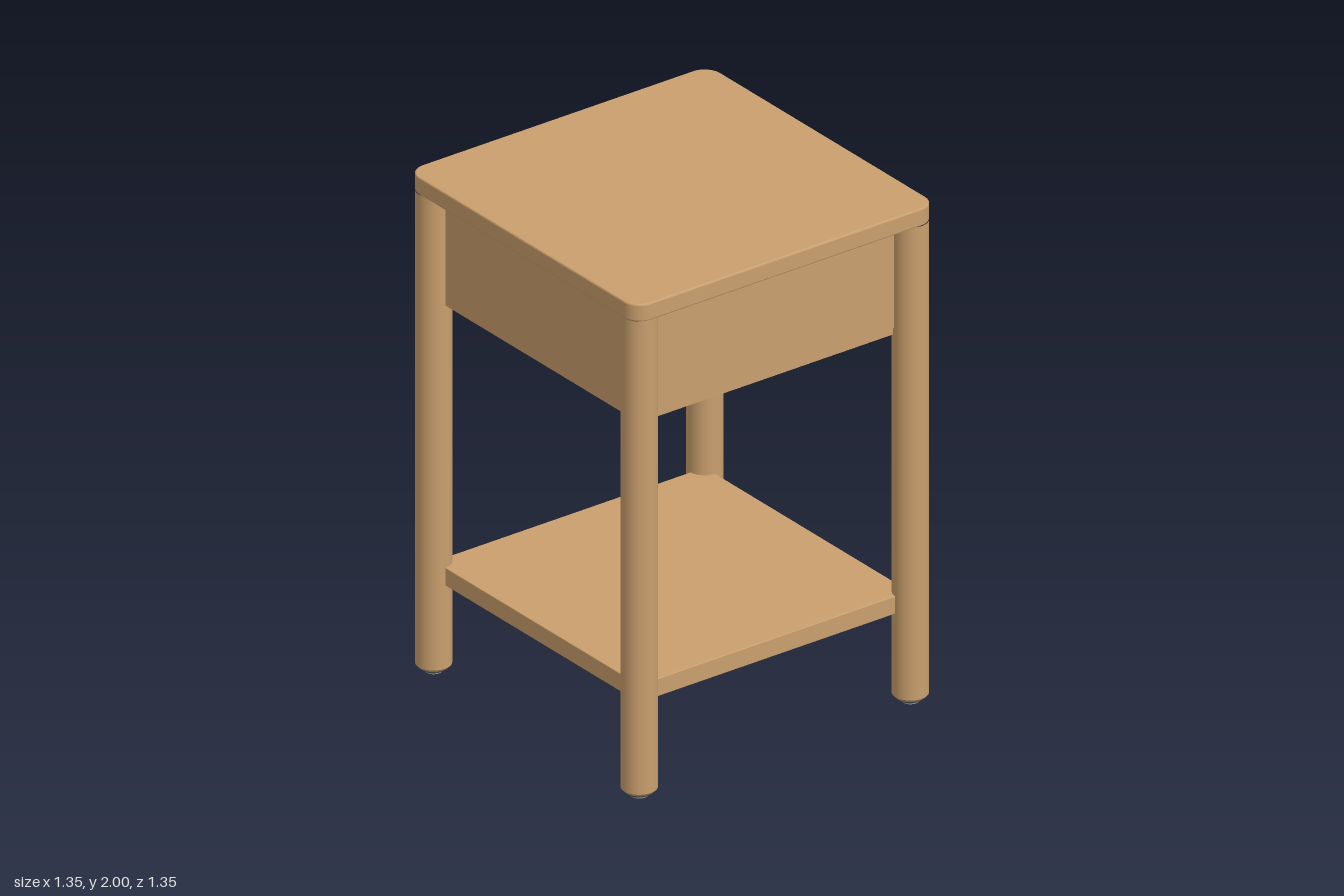
import * as THREE from 'three';

const wood = new THREE.MeshStandardMaterial({ color: 0xc99f6d });
wood.name = 'wood';
const metal = new THREE.MeshStandardMaterial({ color: 0xa3a398 });
metal.name = 'grey metal';
const dark = new THREE.MeshStandardMaterial({ color: 0x404042 });
dark.name = 'dark plastic';

export function createModel() {
  const model = new THREE.Group();
  model.name = 'sideTable';

  const add = (name, geometry, material, x = 0, y = 0, z = 0) => {
    const mesh = new THREE.Mesh(geometry, material);
    mesh.name = name;
    mesh.position.set(x, y, z);
    model.add(mesh);
    return mesh;
  };
  // Box given by its min and max corners
  const box = (name, material, x0, x1, y0, y1, z0, z1) =>
    add(name, new THREE.BoxGeometry(x1 - x0, y1 - y0, z1 - z0), material,
      (x0 + x1) / 2, (y0 + y1) / 2, (z0 + z1) / 2);
  // Horizontal slab from a plan outline, with softened edges
  const slab = (name, shape, y0, y1, bevel) => {
    const geometry = new THREE.ExtrudeGeometry(shape, {
      depth: y1 - y0 - 2 * bevel, bevelEnabled: true, bevelSize: bevel,
      bevelThickness: bevel, bevelOffset: -bevel, bevelSegments: 2, curveSegments: 12,
    });
    geometry.rotateX(-Math.PI / 2);
    return add(name, geometry, wood, 0, y0 + bevel, 0);
  };

  // Table top with rounded corners
  const h = 0.675, r = 0.07;
  const top = new THREE.Shape();
  top.absarc(h - r, h - r, r, 0, Math.PI / 2);
  top.absarc(-h + r, h - r, r, Math.PI / 2, Math.PI);
  top.absarc(-h + r, -h + r, r, Math.PI, Math.PI * 1.5);
  top.absarc(h - r, -h + r, r, Math.PI * 1.5, Math.PI * 2);
  slab('tableTop', top, 1.93, 2, 0.006);

  // Lower shelf, corners cut where it meets the legs
  const s = 0.605, c = 0.54;
  const shelf = new THREE.Shape([
    [s, -c], [s, c], [c, s], [-c, s], [-s, c], [-s, -c], [-c, -s], [c, -s],
  ].map(([x, z]) => new THREE.Vector2(x, z)));
  slab('shelf', shelf, 0.365, 0.437, 0.003);

  // Legs, adjustable feet and shelf brackets
  const legProfile = [[0, 0.02], [0.056, 0.02], [0.056, 0.02], [0.067, 0.032], [0.067, 0.032], [0.067, 1.93]]
    .map(([x, y]) => new THREE.Vector2(x, y));
  const legGeometry = new THREE.LatheGeometry(legProfile, 32);
  const ringGeometry = new THREE.CylinderGeometry(0.042, 0.042, 0.014, 24);
  const footGeometry = new THREE.CylinderGeometry(0.036, 0.034, 0.012, 24);
  const bracketGeometry = new THREE.CylinderGeometry(0.028, 0.028, 0.01, 20);
  for (const sx of [-1, 1]) {
    for (const sz of [-1, 1]) {
      const x = 0.607 * sx, z = 0.607 * sz;
      add('leg', legGeometry, wood, x, 0, z);
      add('footRing', ringGeometry, dark, x, 0.015, z);
      add('foot', footGeometry, metal, x, 0.006, z);
      add('shelfBracket', bracketGeometry, dark, 0.535 * sx, 0.361, 0.535 * sz);
    }
  }

  // Fixed apron panels and rail above the drawer
  box('backPanel', wood, -0.6, 0.6, 1.49, 1.93, -0.605, -0.55);
  box('leftPanel', wood, 0.55, 0.605, 1.49, 1.93, -0.6, 0.6);
  box('rightPanel', wood, -0.605, -0.55, 1.49, 1.93, -0.6, 0.6);
  box('frontRail', wood, -0.55, 0.55, 1.9, 1.93, 0.535, 0.59);

  // Drawer
  box('drawerFront', wood, -0.53, 0.53, 1.49, 1.912, 0.55, 0.605);
  box('drawerBottom', metal, -0.52, 0.52, 1.55, 1.565, -0.53, 0.55);
  box('drawerBack', wood, -0.5, 0.5, 1.565, 1.85, -0.53, -0.51);
  for (const sx of [-1, 1]) {
    const bar = (name, material, a, b, y0, y1, z0, z1) =>
      box(name, material, Math.min(a * sx, b * sx), Math.max(a * sx, b * sx), y0, y1, z0, z1);
    bar('drawerSide', wood, 0.49, 0.51, 1.565, 1.85, -0.53, 0.55);
    bar('frontFiller', wood, 0.534, 0.56, 1.51, 1.93, 0.55, 0.597);

    // Drawer slide with its damper housing
    bar('slideRail', metal, 0.45, 0.53, 1.53, 1.57, -0.5, 0.5);
    bar('slideFlange', metal, 0.5, 0.55, 1.522, 1.53, -0.5, 0.5);
    bar('damper', dark, 0.44, 0.5, 1.512, 1.535, -0.18, 0.28);
    for (let i = 0; i < 4; i++) {
      const z = -0.14 + i * 0.11;
      bar('damperRib', dark, 0.43, 0.51, 1.506, 1.515, z, z + 0.06);
    }
    bar('slideCatch', wood, 0.47, 0.49, 1.505, 1.53, 0.42, 0.44);
  }

  return model;
}
